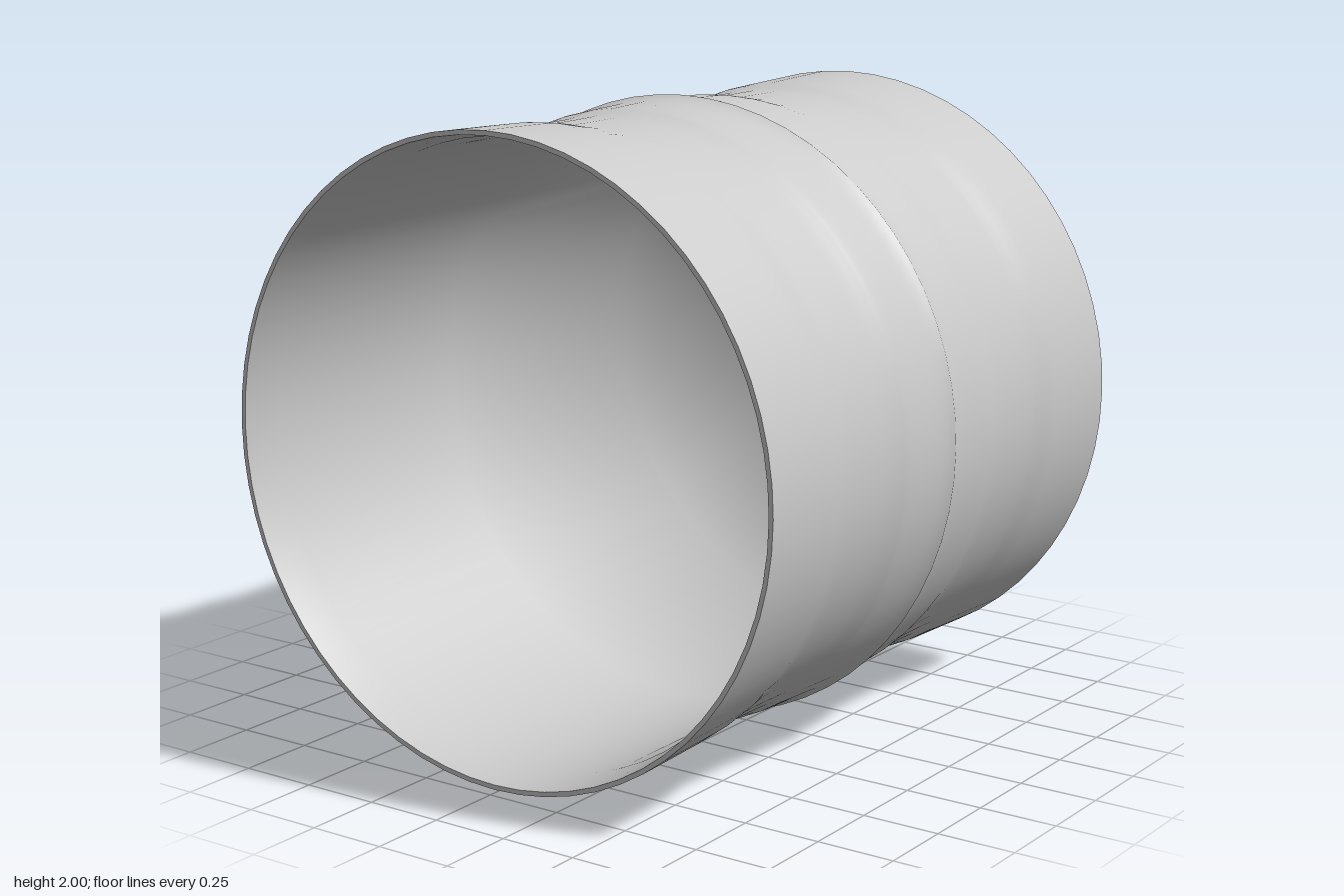
import * as THREE from 'three';

const SEGMENTS = 64;
const HALF = 0.98;    // half length along z
const RIM = 0.99;     // outer radius at the ends
const OPENING = 0.975; // radius of the front opening
const INNER = 0.958;  // radius of the hollow

export function createModel() {
  const model = new THREE.Group();
  const material = new THREE.MeshStandardMaterial({ color: 0xcccccc });

  // Turn a profile of (radius, z) pairs around the z axis
  function turned(name, profile) {
    const points = profile.map(([r, z]) => new THREE.Vector2(r, z));
    const geometry = new THREE.LatheGeometry(points, SEGMENTS);
    geometry.rotateX(Math.PI / 2);
    const mesh = new THREE.Mesh(geometry, material);
    mesh.name = name;
    mesh.position.y = 1;
    model.add(mesh);
  }

  // Ribbed wall, mirrored about the centre ridge: ridge, recessed band, flared end
  const half = new THREE.SplineCurve([
    [1, 0], [0.99, 0.03], [0.984, 0.08], [0.979, 0.22], [0.972, 0.27],
    [0.965, 0.32], [0.963, 0.38], [0.963, 0.53], [0.967, 0.58],
    [0.975, 0.63], [0.98, 0.68], [0.985, 0.82], [RIM, HALF],
  ].map(([r, z]) => new THREE.Vector2(r, z))).getPoints(72).map((p) => [p.x, p.y]);
  const mirrored = half.slice(1).reverse().map(([r, z]) => [r, -z]);
  turned('ribbedWall', [...mirrored, ...half]);

  // Flat closed back
  turned('backCap', [[0, -HALF], [RIM, -HALF]]);

  // Narrow lip around the front opening
  turned('frontLip', [[RIM, HALF], [OPENING, HALF]]);

  // Deep hollow with a softly shaded floor near the back
  turned('hollow', [[OPENING, HALF], [INNER, 0.85], [INNER, 0], [INNER, -0.965], [0, -0.965]]);

  return model;
}
